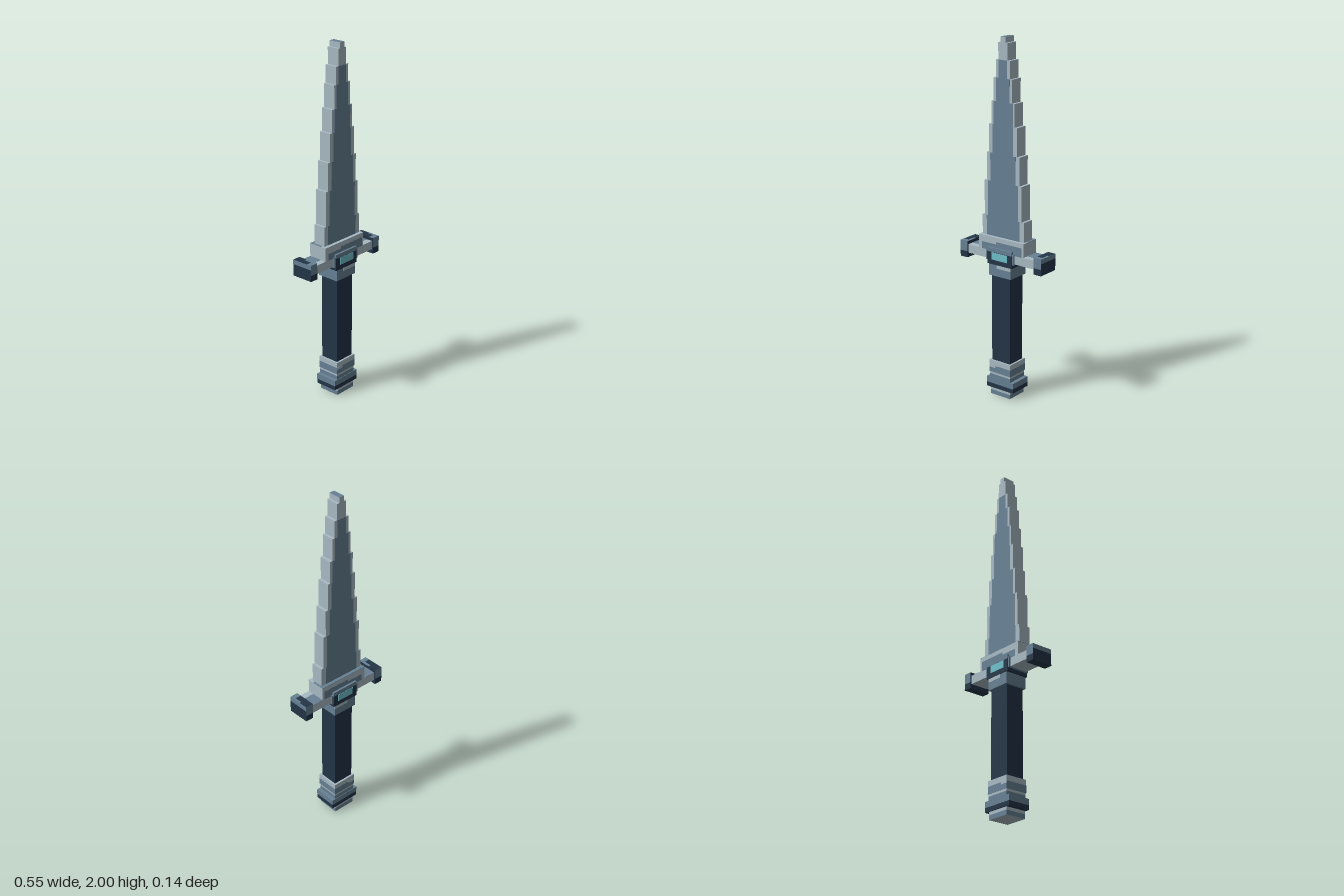
import * as THREE from 'three';

export function createModel() {
  const mat = (name, color) => {
    const m = new THREE.MeshStandardMaterial({ color });
    m.name = name;
    return m;
  };
  const light = mat('light steel', 0xa9bac4);
  const steel = mat('blue steel', 0x678194);
  const navy = mat('dark navy', 0x233547);
  const cyan = mat('cyan gem', 0x6fc0cb);

  const model = new THREE.Group();
  model.name = 'dagger';
  const group = (name) => {
    const g = new THREE.Group();
    g.name = name;
    model.add(g);
    return g;
  };

  // Box from x0..x1, y0..y1, with half depth hz; m is one material or six (+x -x +y -y +z -z)
  const box = (parent, name, m, x0, x1, y0, y1, hz) => {
    const mesh = new THREE.Mesh(new THREE.BoxGeometry(x1 - x0, y1 - y0, hz * 2), m);
    mesh.position.set((x0 + x1) / 2, (y0 + y1) / 2, 0);
    mesh.name = name;
    parent.add(mesh);
    return mesh;
  };
  const block = (parent, name, m, hx, y0, y1, hz) => box(parent, name, m, -hx, hx, y0, y1, hz);

  // Thin painted plates on the front and back
  const plates = (parent, name, m, x0, x1, y0, y1, z) => {
    for (const s of [1, -1]) {
      const p = box(parent, name, m, x0, x1, y0, y1, 0.001);
      p.position.z = s * z;
    }
  };

  // Thin painted plate on an upward face
  const topPlate = (parent, name, m, x0, x1, y, z0, z1) => {
    const p = box(parent, name, m, x0, x1, y - 0.001, y + 0.001, (z1 - z0) / 2);
    p.position.z = (z0 + z1) / 2;
  };

  // Stepped blade with a darker fuller: [bottom, half width, fuller half width]
  const blade = group('blade');
  const steps = [
    [0.92, 0.14, 0.111], [1.03, 0.125, 0.101], [1.225, 0.109, 0.085],
    [1.38, 0.093, 0.068], [1.535, 0.077, 0.062], [1.66, 0.061, 0.045],
    [1.785, 0.046, 0.028], [1.88, 0.03, 0.016], [1.97, 0.016, 0],
  ];
  steps.forEach(([y0, hx, inner], i) => {
    const y1 = i + 1 < steps.length ? steps[i + 1][0] : 2;
    const tip = i === steps.length - 1;
    const m = tip ? [light, light, steel, light, light, light] : light;
    block(blade, 'bladeStep', m, hx, y0, y1, 0.036);
    if (inner && i < 7) plates(blade, 'fuller', steel, -inner, inner, y0, y1, 0.036);
  });

  // Collar where the blade meets the guard
  const guard = group('guard');
  block(guard, 'bladeCollar', light, 0.152, 0.843, 0.92, 0.056);
  plates(guard, 'collarShade', steel, -0.13, -0.03, 0.843, 0.882, 0.056);
  plates(guard, 'collarShade', steel, -0.03, 0.14, 0.843, 0.895, 0.056);
  topPlate(guard, 'collarTop', steel, -0.152, 0.152, 0.92, -0.056, 0.02);

  // Crossbar and its end caps
  block(guard, 'crossbar', light, 0.23, 0.795, 0.844, 0.056);
  topPlate(guard, 'crossbarTop', steel, -0.228, 0.228, 0.844, -0.056, 0.02);
  for (const s of [1, -1]) {
    const a = s > 0 ? 0.227 : -0.275;
    const b = a + 0.048;
    box(guard, 'capLower', navy, a, b, 0.77, 0.805, 0.064);
    box(guard, 'capUpper', [navy, navy, navy, navy, steel, steel], a, b, 0.805, 0.862, 0.064);
    topPlate(guard, 'capTop', steel, a, b, 0.862, 0.035, 0.064);
    const edge = s > 0 ? b - 0.012 : b - 0.015;
    topPlate(guard, 'capTopEdge', steel, edge, b, 0.862, -0.01, 0.035);
    // steel strip along the top of the outer side
    const strip = new THREE.Mesh(new THREE.BoxGeometry(0.002, 0.025, 0.128), steel);
    strip.position.set(s * 0.275, 0.8495, 0);
    strip.name = 'capSideStrip';
    guard.add(strip);
  }

  // Gem mount with a gem on both faces
  block(guard, 'mountLower', navy, 0.083, 0.77, 0.84, 0.069);
  block(guard, 'mountUpper', steel, 0.083, 0.84, 0.863, 0.069);
  block(guard, 'mountRim', steel, 0.093, 0.79, 0.848, 0.066);
  plates(guard, 'gem', cyan, -0.053, 0.053, 0.797, 0.838, 0.07);

  // Grip with upper and lower ferrules
  const handle = group('handle');
  block(handle, 'upperFerrule', steel, 0.074, 0.705, 0.772, 0.066);
  plates(handle, 'ferruleShine', light, -0.02, 0.074, 0.75, 0.772, 0.066);
  block(handle, 'grip', navy, 0.062, 0.205, 0.705, 0.055);
  block(handle, 'lowerFerruleTop', light, 0.073, 0.175, 0.205, 0.066);
  block(handle, 'lowerFerrule', steel, 0.073, 0.135, 0.175, 0.066);
  plates(handle, 'ferruleShine', light, -0.073, -0.03, 0.162, 0.175, 0.066);

  // Pommel
  const pommel = group('pommel');
  block(pommel, 'neckStripe', light, 0.07, 0.122, 0.135, 0.064);
  block(pommel, 'neck', steel, 0.07, 0.1, 0.122, 0.064);
  block(pommel, 'pommelUpper', steel, 0.092, 0.067, 0.1, 0.067);
  block(pommel, 'pommelLower', navy, 0.092, 0.042, 0.067, 0.067);
  block(pommel, 'footStripe', light, 0.067, 0.025, 0.042, 0.062);
  block(pommel, 'foot', [steel, steel, steel, light, steel, steel], 0.067, 0, 0.025, 0.062);

  return model;
}
